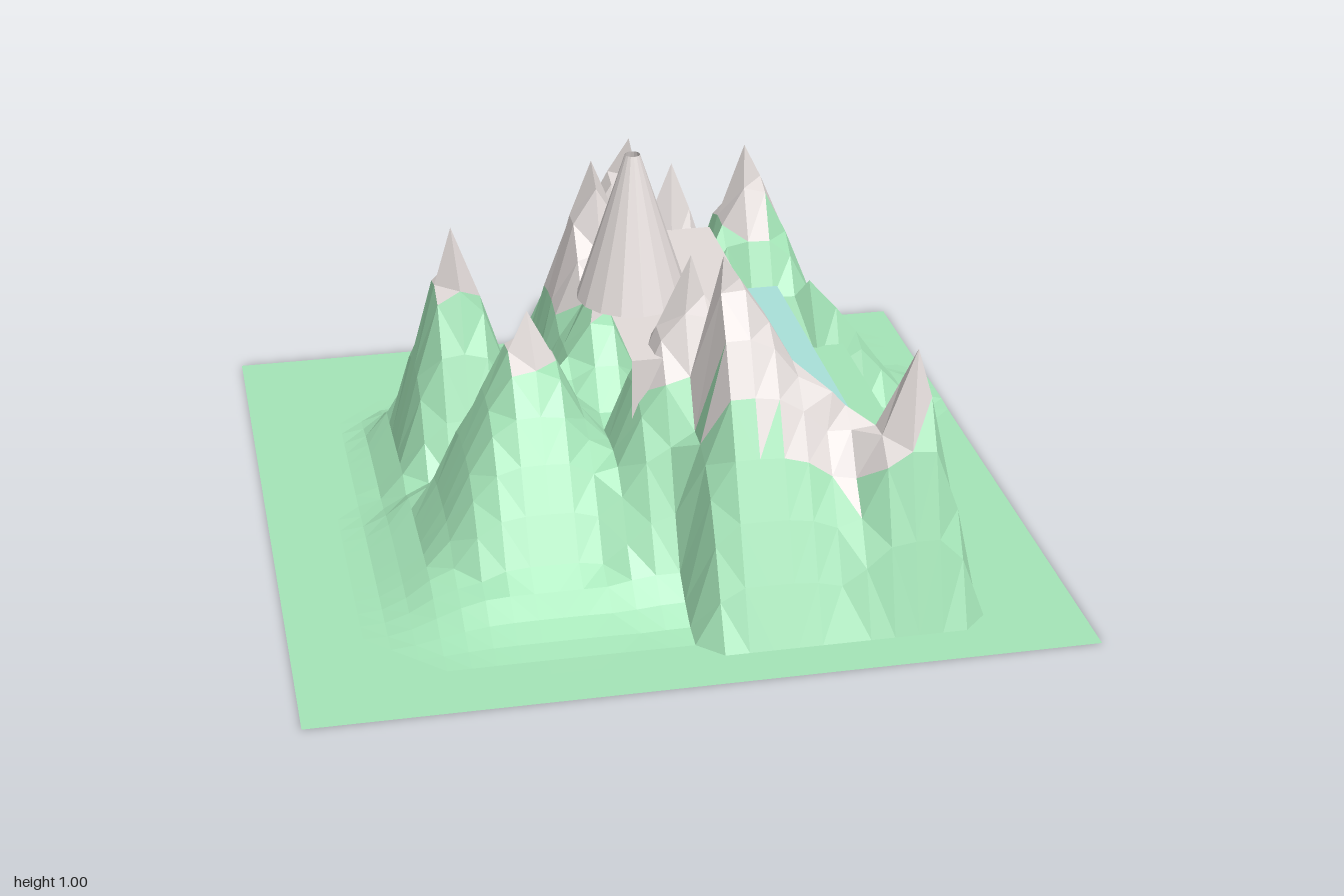
import * as THREE from 'three';

const mat = (name, color) => {
  const m = new THREE.MeshStandardMaterial({ color, side: THREE.DoubleSide });
  m.name = name;
  return m;
};

// Peaks: x, z, height, steep footprint (x min, x max, z min, z max), foot flare
const PEAKS = [
  [-0.45, -0.26, 0.72, -0.64, -0.22, -0.52, 0.02, 0.12],
  [-0.32, 0.22, 0.68, -0.64, -0.02, -0.02, 0.63, 0.12],
  [0.12, -0.66, 0.78, -0.25, 0.28, -0.88, -0.45, 0.12],
  [0.45, -0.62, 0.75, 0.22, 0.75, -0.88, -0.30, 0.12],
  [0.59, 0.67, 0.70, 0.34, 0.75, 0.42, 0.875, 0],
  [0.14, 0.46, 0.90, 0.00, 0.62, 0.20, 0.875, 0],
  [0.09, 0.31, 0.84, -0.25, 0.30, 0.10, 0.65, 0.1],
  [-0.07, -0.22, 0.90, -0.32, 0.24, -0.56, 0.10, 0],
  [0.20, -0.45, 0.78, -0.08, 0.44, -0.66, -0.26, 0],
  [0.15, -0.33, 0.66, -0.20, 0.35, -0.55, -0.08, 0],
  [0.36, -0.43, 0.52, 0.20, 0.50, -0.60, -0.30, 0],
  [0.13, 0.18, 0.74, -0.02, 0.24, 0.06, 0.38, 0],
  [0.60, -0.42, 0.40, 0.35, 0.90, -0.55, -0.32, 0.1],
  [0.40, 0.57, 0.55, 0.06, 0.75, 0.30, 0.875, 0],
  [-0.10, 0.00, 0.64, -0.38, 0.14, -0.38, 0.38, 0],
];

// Steep square-footed slopes with a shallow skirt
function height(x, z) {
  let y = 0;
  for (const [px, pz, h, x0, x1, z0, z1, flare] of PEAKS) {
    const u = x < px ? (px - x) / (px - x0) : (x - px) / (x1 - px);
    const v = z < pz ? (pz - z) / (pz - z0) : (z - pz) / (z1 - pz);
    const t = (u ** 4 + v ** 4) ** 0.25;
    const skirt = flare * h * Math.max(0, (1.5 - t) / 0.5) ** 2;
    y = Math.max(y, h * (1 - t ** 1.12), t > 0.8 ? Math.min(skirt, 0.12 * h) : 0);
  }
  return y;
}

// Lower edge of the bare rock
function rockLine(x, z) {
  const near = (cx, cz, rx, rz) => Math.exp(-((x - cx) ** 2) / rx - (z - cz) ** 2 / rz);
  return 0.54 - 0.3 * near(0.41, 0.56, 0.014, 0.09) - 0.18 * near(0.02, -0.35, 0.04, 0.04)
    + 0.1 * near(-0.22, 0.02, 0.01, 0.01);
}

function buildTerrain(grass, rock) {
  const N = 32, step = 2 / N;
  const grid = [];
  for (let j = 0; j <= N; j++) {
    for (let i = 0; i <= N; i++) {
      const x = -1 + i * step, z = -1 + j * step;
      let y = height(x, z);
      // keep the lower terraces clear
      if (Math.abs(z) < (x > 0.4 ? 0.4 : 0.36) && x > 0.3 && x < 0.72) y = Math.min(y, 0.15);
      grid.push(new THREE.Vector3(x, y, z));
    }
  }
  // pull the nearest grid point onto each summit
  for (const [x, z, h] of PEAKS) {
    const k = Math.round((z + 1) / step) * (N + 1) + Math.round((x + 1) / step);
    grid[k].set(x, Math.max(h, height(x, z)), z);
  }
  const faces = [[], []];
  const addTri = (a, b, c) => {
    const m = a.clone().add(b).add(c).divideScalar(3);
    faces[m.y > rockLine(m.x, m.z) ? 1 : 0].push(a, b, c);
  };
  for (let j = 0; j < N; j++) {
    for (let i = 0; i < N; i++) {
      const k = j * (N + 1) + i;
      const a = grid[k], b = grid[k + 1], c = grid[k + N + 1], d = grid[k + N + 2];
      const cx = -1 + (i + 0.5) * step, cz = -1 + (j + 0.5) * step;
      // open beneath the terraces
      const inside = cx > 0.02 && cx < 0.68 && Math.abs(cz) < 0.375;
      if (inside && Math.max(a.y, b.y, c.y, d.y) < (cx > 0.3 ? 0.3 : 0.6)) continue;
      // split along the flatter diagonal so ridges stay sharp
      if (Math.abs(a.y - d.y) < Math.abs(b.y - c.y)) {
        addTri(a, c, d);
        addTri(a, d, b);
      } else {
        addTri(a, c, b);
        addTri(b, c, d);
      }
    }
  }
  const geo = new THREE.BufferGeometry().setFromPoints([...faces[0], ...faces[1]]);
  geo.addGroup(0, faces[0].length, 0);
  geo.addGroup(faces[0].length, faces[1].length, 1);
  geo.computeVertexNormals(); // unshared corners give flat facets
  const mesh = new THREE.Mesh(geo, [grass, rock]);
  mesh.name = 'mountains';
  return mesh;
}

// Terrace step: tread, riser and ends, open behind and below
function terrace(name, x0, x1, y0, material) {
  const geo = new THREE.BoxGeometry(x1 - x0, 0.2, 0.8);
  const index = Array.from(geo.index.array);
  geo.setIndex(index.filter((_, i) => ![1, 3].includes(Math.floor(i / 6))));
  geo.clearGroups();
  const mesh = new THREE.Mesh(geo, material);
  mesh.position.set((x0 + x1) / 2, y0 + 0.1, 0);
  mesh.name = name;
  return mesh;
}

export function createModel() {
  const grass = mat('grass green', 0xa4e4b7);
  const rock = mat('rock grey', 0xe2dbd9);
  const water = mat('water teal', 0xa8e0d9);

  const model = new THREE.Group();
  model.name = 'mountainLandscape';
  model.add(buildTerrain(grass, rock));

  // Three steps descending to the left
  model.add(terrace('lowerTerrace', 0.5, 0.7, 0, grass));
  model.add(terrace('middleTerrace', 0.3, 0.5, 0.2, water));
  model.add(terrace('upperTerrace', -0.08, 0.3, 0.4, rock));

  // Open-topped central cone
  const cone = new THREE.Mesh(
    new THREE.CylinderGeometry(0.02, 0.15, 0.4, 16, 1, true).toNonIndexed(), rock);
  cone.geometry.computeVertexNormals();
  cone.position.y = 0.8;
  cone.name = 'centralCone';
  model.add(cone);
  return model;
}
